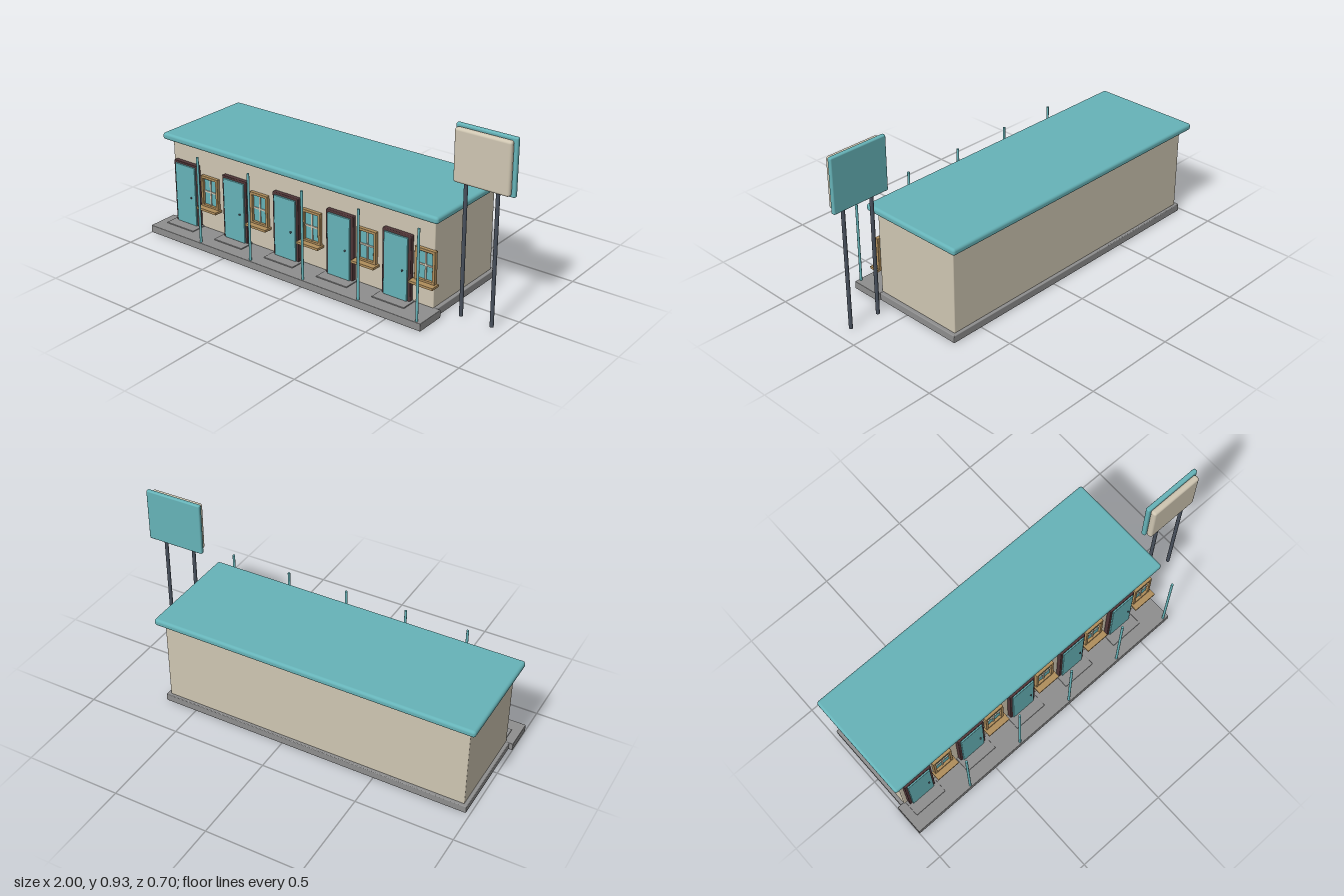
import * as THREE from 'three';
import { RoundedBoxGeometry } from 'three/addons/geometries/RoundedBoxGeometry.js';

const paint = (name, color) => {
  const m = new THREE.MeshStandardMaterial({ color });
  m.name = name;
  return m;
};

export function createModel() {
  const teal = paint('teal', 0x66b3b8);
  const cream = paint('cream', 0xcfc6b2);
  const concrete = paint('concrete', 0x8e8e8e);
  const darkWood = paint('dark wood', 0x503638);
  const tanWood = paint('tan wood', 0xb08e5c);
  const steel = paint('steel', 0x48505c);

  const model = new THREE.Group();
  model.name = 'roadsideLodge';

  // Box from its extents; a radius rounds the edges
  function box(parent, name, mat, [x0, x1], [y0, y1], [z0, z1], radius = 0) {
    const w = x1 - x0, h = y1 - y0, d = z1 - z0;
    const geo = radius ? new RoundedBoxGeometry(w, h, d, 3, radius) : new THREE.BoxGeometry(w, h, d);
    const mesh = new THREE.Mesh(geo, mat);
    mesh.name = name;
    mesh.position.set((x0 + x1) / 2, (y0 + y1) / 2, (z0 + z1) / 2);
    parent.add(mesh);
    return mesh;
  }

  // Upright round post
  function post(parent, name, mat, r, x, z, y0, y1) {
    const mesh = new THREE.Mesh(new THREE.CylinderGeometry(r, r, y1 - y0, 16), mat);
    mesh.name = name;
    mesh.position.set(x, (y0 + y1) / 2, z);
    parent.add(mesh);
  }

  // Ground slabs, walls and roof
  box(model, 'foundation', concrete, [-0.98, 0.675], [0, 0.04], [-0.32, 0.186], 0.004);
  box(model, 'walkway', concrete, [-1, 0.693], [0, 0.04], [0.184, 0.348], 0.003);
  box(model, 'walls', cream, [-0.963, 0.657], [0.038, 0.495], [-0.305, 0.192], 0.005);
  box(model, 'roof', teal, [-1, 0.693], [0.484, 0.52], [-0.348, 0.233], 0.014);

  // Door with frame, knob and step
  function addDoor(parent, x) {
    const door = new THREE.Group();
    door.name = 'doorway';
    door.position.x = x;
    parent.add(door);
    box(door, 'doorFrame', darkWood, [-0.08, 0.08], [0.04, 0.38], [0.185, 0.215], 0.004);
    box(door, 'doorLeaf', teal, [-0.067, 0.067], [0.044, 0.368], [0.2, 0.223], 0.003);
    box(door, 'doorStep', concrete, [-0.092, 0.092], [0.038, 0.045], [0.186, 0.278], 0.002);
    const knob = new THREE.Mesh(new THREE.SphereGeometry(0.005, 12, 8), steel);
    knob.name = 'doorKnob';
    knob.position.set(0.043, 0.2, 0.229);
    door.add(knob);
  }

  // Window with frame, glass, glazing bars and sill
  function addWindow(parent, x) {
    const win = new THREE.Group();
    win.name = 'window';
    win.position.x = x;
    parent.add(win);
    box(win, 'glass', teal, [-0.045, 0.045], [0.175, 0.325], [0.19, 0.196]);
    for (const s of [-1, 1]) {
      const c = s * 0.049;
      box(win, 'frameSide', tanWood, [c - 0.007, c + 0.007], [0.165, 0.336], [0.188, 0.21], 0.002);
    }
    box(win, 'frameTop', tanWood, [-0.056, 0.056], [0.322, 0.336], [0.188, 0.21], 0.002);
    box(win, 'frameBottom', tanWood, [-0.056, 0.056], [0.165, 0.179], [0.188, 0.21], 0.002);
    box(win, 'barUpright', cream, [-0.004, 0.004], [0.178, 0.323], [0.194, 0.201]);
    box(win, 'barAcross', cream, [-0.043, 0.043], [0.247, 0.255], [0.194, 0.201]);
    box(win, 'sill', tanWood, [-0.066, 0.066], [0.157, 0.169], [0.188, 0.241]);
  }

  // Five identical rooms along the front
  for (let i = 0; i < 5; i++) {
    const room = new THREE.Group();
    room.name = 'room' + (i + 1);
    room.position.x = i * 0.331;
    model.add(room);
    addDoor(room, -0.863);
    addWindow(room, -0.709);
    post(room, 'walkwayPost', teal, 0.0065, -0.659, 0.336, 0.04, 0.502);
  }

  // Roadside sign on two poles
  const sign = new THREE.Group();
  sign.name = 'roadsideSign';
  model.add(sign);
  box(sign, 'signBack', teal, [0.685, 0.998], [0.65, 0.93], [0.075, 0.098], 0.007);
  box(sign, 'signFace', cream, [0.696, 0.985], [0.66, 0.919], [0.096, 0.129], 0.013);
  for (const x of [0.757, 0.922]) post(sign, 'signPole', steel, 0.0095, x, 0.111, 0, 0.68);

  return model;
}
